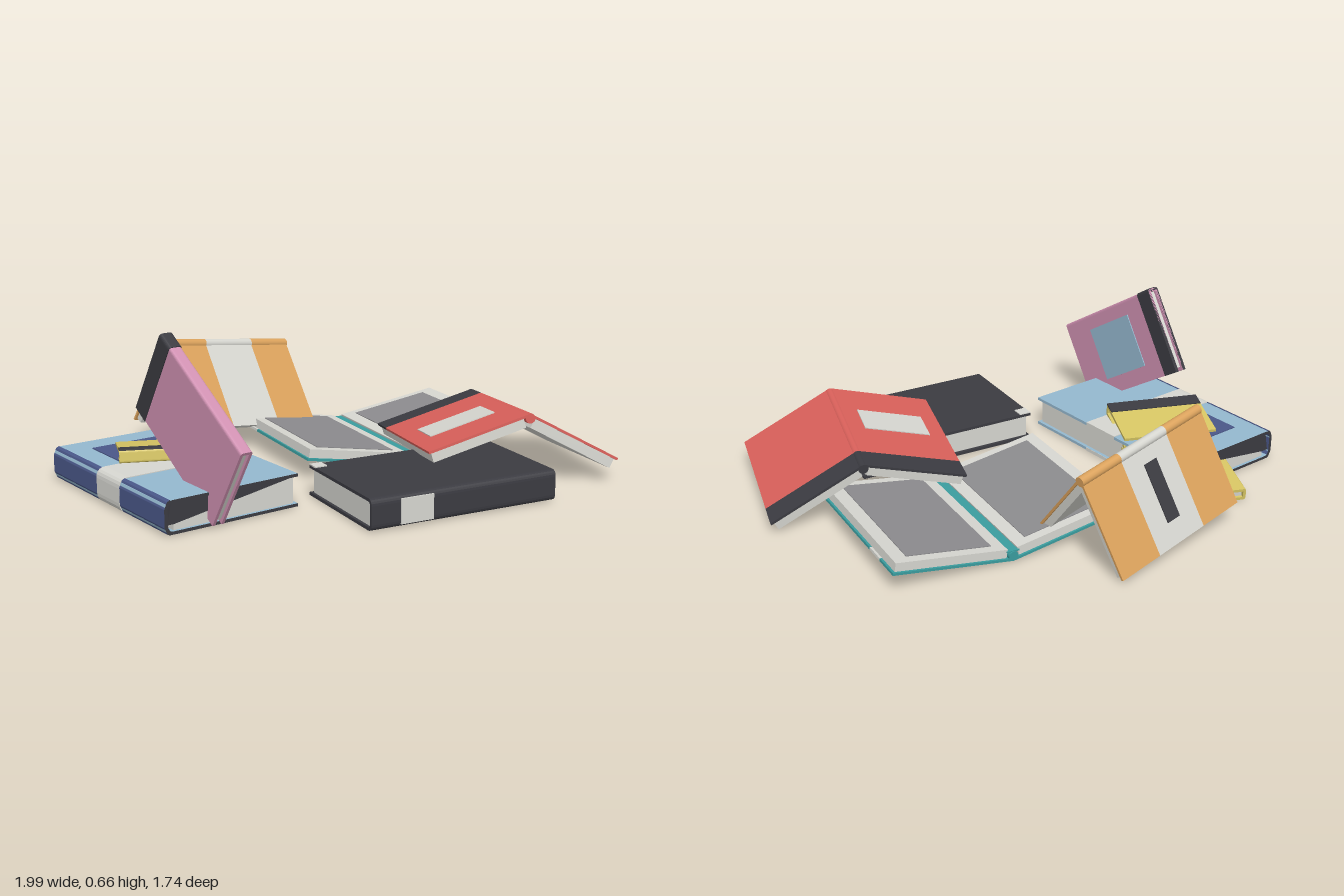
import * as THREE from 'three';

const mat = (name, color) => {
  const m = new THREE.MeshStandardMaterial({ color });
  m.name = name;
  return m;
};
const paper = mat('paper', 0xd6d6d0), dark = mat('charcoal', 0x3b3b41), red = mat('red', 0xd9605a),
  orange = mat('orange', 0xdba25c), blue = mat('lightBlue', 0x94b8ce), navy = mat('navy', 0x4a5788),
  teal = mat('teal', 0x3a9c9e), yellow = mat('yellow', 0xd6c563), pink = mat('pink', 0xcf90b1),
  gray = mat('gray', 0x8c8b8e);
const V = (a) => new THREE.Vector3(...a);

function add(parent, name, geometry, material) {
  const mesh = new THREE.Mesh(geometry, material);
  mesh.name = name;
  parent.add(mesh);
  return mesh;
}

// Box given by its minimum and maximum on each axis
function box(parent, name, material, x0, x1, y0, y1, z0, z1) {
  const mesh = add(parent, name, new THREE.BoxGeometry(x1 - x0, y1 - y0, Math.abs(z1 - z0)), material);
  mesh.position.set((x0 + x1) / 2, (y0 + y1) / 2, (z0 + z1) / 2);
  return mesh;
}

// Point a group's x axis along X and its z axis along Z
function place(group, pos, X, Z) {
  const z = Z.clone().normalize();
  const y = z.clone().cross(X).normalize();
  const x = y.clone().cross(z);
  group.quaternion.setFromRotationMatrix(new THREE.Matrix4().makeBasis(x, y, z));
  group.position.copy(pos);
}

function extrude(parent, name, shape, material, z0, z1) {
  const g = new THREE.ExtrudeGeometry(shape, { depth: z1 - z0, bevelEnabled: false, curveSegments: 5 });
  add(parent, name, g.translate(0, 0, z0), material);
}

// C-shaped cover section with a rounded spine at x = 0; o grows it outwards
function coverShape(w, h, r, o = 0) {
  const t = 0.012, s = new THREE.Shape();
  s.moveTo(w, -o);
  s.lineTo(r, -o);
  s.quadraticCurveTo(-o, -o, -o, r);
  s.lineTo(-o, h - r);
  s.quadraticCurveTo(-o, h + o, r, h + o);
  s.lineTo(w, h + o);
  s.lineTo(w, h - t);
  s.lineTo(r, h - t);
  s.quadraticCurveTo(t, h - t, t, h - r);
  s.lineTo(t, r);
  s.quadraticCurveTo(t, t, r, t);
  s.lineTo(w, t);
  return s;
}

const poly = (...pts) => new THREE.Shape(pts.map((p) => new THREE.Vector2(...p)));

// Closed book: spine along z at x = 0, lying on y = 0
function closedBook(parent, name, { w, h, d, r, color, edge = color, pos, X, Z, band, plates = [], wedge }) {
  const g = new THREE.Group();
  g.name = name;
  place(g, V(pos), V(X), V(Z));
  parent.add(g);
  extrude(g, 'cover', coverShape(w, h, r), [edge, color], -d / 2, d / 2);
  const e = d / 2 - 0.012, x1 = w - 0.015, y0 = 0.012, y1 = h - 0.012;
  if (wedge) {
    // Pages fan out towards the fore edge, with a dark gap above them
    extrude(g, 'pages', poly([0.04, y0], [x1, y0], [x1, y1], [0.04, 0.035]), paper, -e, e);
    extrude(g, 'gap', poly([0.013, 0.036], [0.04, 0.036], [x1, y1], [0.03, y1]), dark, -e - 0.005, e + 0.005);
  } else {
    extrude(g, 'pages', poly([0.013, y0], [x1, y0], [x1, y1], [0.013, y1]), paper, -e, e);
  }
  if (band) extrude(g, 'band', coverShape(w + 0.001, h, r, 0.003), band[2], band[0], band[1]);
  for (const [x0, x2, z0, z1, m] of plates) box(g, 'label', m, x0, x2, h - 0.002, h + 0.004, z0, z1);
}

// Open book: two halves hinged on a ridge from F to B. up = 1 for a tent, -1 for lying open.
// sections and plates run along the ridge as fractions from F to B.
function openBook(parent, name, { F, B, outs, up, t, sections, plates = [], pageStart = 0.03 }) {
  const g = new THREE.Group();
  g.name = name;
  parent.add(g);
  const f = V(F), b = V(B), axis = b.clone().sub(f), d = axis.length();
  const ridge = f.clone().add(b).multiplyScalar(0.5);

  // Rounded spine
  const spine = new THREE.Group();
  spine.name = 'spine';
  place(spine, ridge.clone().add(new THREE.Vector3(0, -0.02 * up, 0)), new THREE.Vector3(1, 0, 0), axis);
  g.add(spine);
  for (const [a, c, m] of sections) {
    const cyl = new THREE.CylinderGeometry(0.02, 0.02, (c - a) * d, 14).rotateX(Math.PI / 2);
    add(spine, 'spineSection', cyl.translate(0, 0, ((a + c) / 2 - 0.5) * d), m);
  }

  outs.forEach(([of, ob], i) => {
    const half = new THREE.Group();
    half.name = i ? 'rightHalf' : 'leftHalf';
    const X = V(of).add(V(ob)).multiplyScalar(0.5).sub(ridge), w = X.length();
    const flip = axis.clone().cross(X).y * up < 0 ? -1 : 1;
    place(half, ridge, X, axis.clone().multiplyScalar(flip));
    g.add(half);
    const z = (k) => (k - 0.5) * d * flip;
    for (const [a, c, m] of sections) box(half, 'cover', m, 0.008, w, -0.01, 0, z(a), z(c));
    box(half, 'pages', paper, pageStart, w - 0.01, -t, -0.01, -d / 2 + 0.01, d / 2 - 0.01);
    for (const [side, x0, x1, a, c, m, inner] of plates) {
      if (side !== i) continue;
      const y = inner ? -t - 0.003 : -0.002;
      box(half, inner ? 'printedPage' : 'label', m, x0, x1, y, y + 0.006, z(a), z(c));
    }
  });
}

export function createModel() {
  const model = new THREE.Group();
  model.name = 'bookPile';

  closedBook(model, 'blackBook', {
    w: 0.49, h: 0.12, d: 0.79, r: 0.025, color: dark, pos: [0, 0, 0.8], X: [0.16, 0, -0.985], Z: [0.985, 0, 0.16],
    plates: [[0.44, 0.49, -0.395, -0.345, paper]],
  });
  // Spine band of the black book
  const black = model.children[0];
  box(black, 'spineBand', paper, -0.004, 0.012, 0.012, 0.108, -0.275, -0.14);

  closedBook(model, 'blueBook', {
    w: 0.57, h: 0.128, d: 0.86, r: 0.035, color: blue, edge: dark, pos: [-0.997, 0, -0.09], X: [1, 0, 0], Z: [0, 0, 1],
    band: [-0.07, 0.105, paper], plates: [[0.112, 0.507, -0.32, -0.09, navy]], wedge: true,
  });
  // Navy spine of the blue book on either side of the band
  const blueBook = model.children[1];
  for (const [z0, z1] of [[-0.43, -0.07], [0.105, 0.43]]) {
    const s = poly([0.022, -0.001], [0.01, 0.004], [-0.002, 0.03], [-0.002, 0.098], [0.01, 0.124], [0.022, 0.13],
      [0.024, 0.12], [0.012, 0.098], [0.012, 0.03], [0.024, 0.01]);
    extrude(blueBook, 'navySpine', s, [dark, navy], z0, z1);
  }

  closedBook(model, 'yellowBookOnTop', {
    w: 0.265, h: 0.05, d: 0.4, r: 0.01, color: yellow, pos: [-0.725, 0.133, -0.065],
    X: [0.1, -0.038, -0.24], Z: [0.36, 0, 0.17], plates: [[0.0, 0.065, -0.2, 0.2, dark]],
  });

  closedBook(model, 'yellowBookBelow', {
    w: 0.4, h: 0.05, d: 0.5, r: 0.01, color: yellow, pos: [-0.745, 0.025, -0.49],
    X: [0.91, 0, 0.42], Z: [-0.42, 0.1, 0.91], plates: [[0.07, 0.33, -0.15, 0.1, dark]],
  });

  closedBook(model, 'pinkStandingBook', {
    w: 0.37, h: 0.05, d: 0.624, r: 0.012, color: pink, pos: [-0.815, 0.485, 0.29],
    X: [0, -0.85, -0.53], Z: [0, -0.53, 0.85], band: [-0.312, -0.235, dark],
    plates: [[0.065, 0.3, -0.13, 0.15, blue]],
  });

  openBook(model, 'redTentBook', {
    F: [0.43, 0.295, 0.68], B: [0.65, 0.245, 0.09], up: 1, t: 0.05,
    outs: [[[0.04, 0.17, 0.545], [0.255, 0.135, -0.06]], [[0.78, 0.085, 0.82], [0.995, 0.045, 0.21]]],
    sections: [[0, 0.83, red], [0.83, 1, dark]],
    plates: [[0, 0.08, 0.36, 0.28, 0.52, paper]],
  });

  openBook(model, 'orangeTentBook', {
    F: [-0.405, 0.468, -0.65], B: [0.235, 0.383, -0.7], up: 1, t: 0.04,
    outs: [[[-0.43, 0.14, -0.38], [0.215, 0.06, -0.445]], [[-0.47, 0.095, -0.83], [0.17, 0.01, -0.88]]],
    sections: [[0, 0.31, orange], [0.31, 0.69, paper], [0.69, 1, orange]],
    plates: [[1, 0.09, 0.33, 0.45, 0.55, dark]],
  });

  openBook(model, 'tealOpenBook', {
    F: [0.265, 0, 0.18], B: [0.385, 0, -0.51], up: -1, t: 0.045, pageStart: 0.028,
    outs: [[[-0.21, 0.08, 0.1], [-0.09, 0.08, -0.59]], [[0.75, 0.08, 0.265], [0.87, 0.08, -0.425]]],
    sections: [[0, 0.7, teal], [0.7, 0.83, paper], [0.83, 0.999, teal]],
    plates: [[0, 0.08, 0.43, 0.07, 0.93, gray, true], [1, 0.08, 0.43, 0.07, 0.93, gray, true],
      [0, 0.12, 0.37, 0.3, 0.6, gray]],
  });
  // Teal lining along the gutter of the open book
  const lining = new THREE.Group();
  lining.name = 'gutterLining';
  place(lining, V([0.325, 0.04, -0.165]), V([0.985, 0, 0.17]), V([-0.17, 0, 0.985]));
  box(lining, 'lining', teal, -0.026, 0.026, -0.004, 0.002, -0.345, 0.345);
  model.add(lining);

  return model;
}
